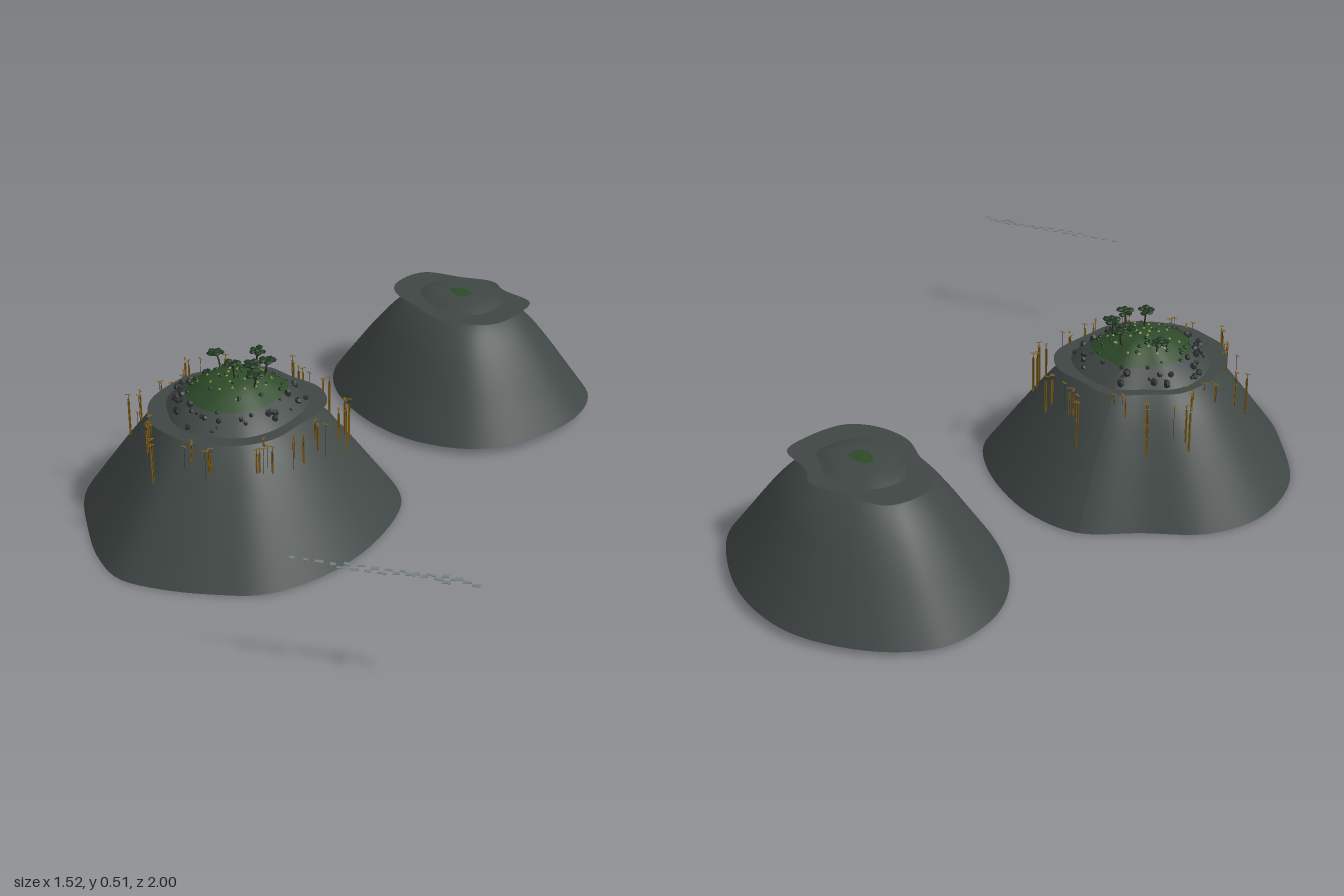
import * as THREE from 'three';
import { mergeGeometries } from 'three/addons/utils/BufferGeometryUtils.js';

const mat = (name, color, side = THREE.FrontSide) => {
  const m = new THREE.MeshStandardMaterial({ color, side });
  m.name = name;
  return m;
};
const SEA = 0.36, SEG = 96, SHORE = 0.54;

export function createModel() {
  const group = new THREE.Group();
  const rock = mat('slopeRock', 0x3f4745, THREE.DoubleSide);
  const shelfRock = mat('shelfRock', 0x3f4644, THREE.DoubleSide);
  const moss = mat('moss', 0x2d4a29, THREE.DoubleSide);
  const boulder = mat('boulder', 0x2b3130);
  const bark = mat('bark', 0x2c241b);
  const leaf = mat('foliage', 0x1f3621);
  const grass = mat('grass', 0x83943a);
  const stem = mat('kelpStem', 0x3b3426);
  const blade = mat('kelpBlade', 0x7d5a14, THREE.DoubleSide);
  const foam = mat('driftSlab', 0x74807d);

  let seed = 7;
  const rnd = (a = 0, b = 1) => {
    seed = (seed * 16807) % 2147483647;
    return a + (b - a) * (seed / 2147483647);
  };
  const add = (name, geometry, material) => {
    const mesh = new THREE.Mesh(geometry, material);
    mesh.name = name;
    group.add(mesh);
  };
  const outline = (pts) => new THREE.CatmullRomCurve3(
    pts.map(([x, z]) => new THREE.Vector3(x, 0, z)), true).getSpacedPoints(SEG);

  // An island: stacked loops from the sea-bed outline to the peak, plus a flat shelf at sea level
  function island(name, [cx, cz], basePts, shorePts, profile, mossLimit, tilt) {
    const base = outline(basePts), shore = outline(shorePts);
    const levels = new THREE.SplineCurve(profile.map(p => new THREE.Vector2(...p))).getPoints(28);
    const point = (s, i, y) => {
      const k = THREE.MathUtils.smoothstep(s, 0.15, 0.6), q = (1 - k) / SHORE;
      const dx = s * (q * (shore[i].x - cx) + k * (base[i].x - cx));
      const dz = s * (q * (shore[i].z - cz) + k * (base[i].z - cz));
      return new THREE.Vector3(cx + dx, y + tilt * dx * s * s, cz + dz);
    };
    const pos = [], idx = [], row = SEG + 1;
    let split = -1;
    levels.forEach((l, j) => {
      for (let i = 0; i <= SEG; i++) pos.push(...point(Math.max(l.x, 0.001), i, l.y).toArray());
      if (j === levels.length - 1) return;
      if (split < 0 && l.x < mossLimit) split = idx.length;
      for (let i = 0; i < SEG; i++) {
        const a = j * row + i, b = a + 1, c = a + row, d = c + 1;
        idx.push(a, c, b, b, c, d);
      }
    });
    const g = new THREE.BufferGeometry();
    g.setAttribute('position', new THREE.Float32BufferAttribute(pos, 3));
    g.setIndex(idx);
    g.computeVertexNormals();
    g.addGroup(0, split, 0);
    g.addGroup(split, idx.length - split, 1);
    add(name + 'Mound', g, [rock, moss]);

    const ring = (k) => shore.slice(0, SEG).map(p =>
      new THREE.Vector2(cx + (p.x - cx) * k, -(cz + (p.z - cz) * k)));
    const shape = new THREE.Shape(ring(1));
    shape.holes.push(new THREE.Path(ring(0.48)));
    add(name + 'Shelf', new THREE.ShapeGeometry(shape).rotateX(-Math.PI / 2).translate(0, SEA - 0.003, 0), shelfRock);

    // Surface point at a given share of the radius
    return (s, i) => {
      const j = Math.max(1, levels.findIndex(l => l.x <= s));
      const a = levels[j - 1], b = levels[j];
      return point(s, i, THREE.MathUtils.mapLinear(s, a.x, b.x, a.y, b.y));
    };
  }

  const surface = island('mainIsland', [-0.28, 0.16],
    [[-0.21, -0.29], [-0.05, -0.24], [0.11, -0.1], [0.2, 0.055], [0.205, 0.15], [0.14, 0.35], [0.03, 0.51],
      [-0.12, 0.62], [-0.26, 0.64], [-0.42, 0.635], [-0.55, 0.6], [-0.63, 0.51], [-0.69, 0.39], [-0.76, 0.16],
      [-0.71, -0.05], [-0.58, -0.18], [-0.39, -0.235]],
    [[-0.23, -0.065], [-0.15, -0.02], [-0.05, 0.04], [-0.016, 0.135], [-0.085, 0.28], [-0.13, 0.35], [-0.21, 0.4],
      [-0.365, 0.41], [-0.44, 0.37], [-0.5, 0.32], [-0.534, 0.19], [-0.487, 0.066], [-0.434, 0], [-0.365, -0.024]],
    [[1, 0.006], [0.85, 0.108], [0.7, 0.208], [0.55, 0.3], [0.41, 0.368], [0.28, 0.414], [0.15, 0.45], [0, 0.462]], 0.33, 0.004);

  island('backIsland', [0.32, -0.62],
    [[0.217, -1], [0.4, -0.99], [0.56, -0.91], [0.68, -0.78], [0.757, -0.605], [0.72, -0.447], [0.59, -0.3],
      [0.455, -0.225], [0.35, -0.214], [0.19, -0.257], [0.03, -0.38], [-0.09, -0.57], [-0.106, -0.74],
      [-0.03, -0.9], [0.074, -0.966]],
    [[0.19, -0.797], [0.307, -0.775], [0.418, -0.754], [0.455, -0.696], [0.545, -0.62], [0.52, -0.54],
      [0.444, -0.447], [0.35, -0.43], [0.243, -0.468], [0.18, -0.54], [0.11, -0.617], [0.095, -0.685], [0.138, -0.765]],
    [[1, 0.024], [0.85, 0.115], [0.7, 0.205], [0.56, 0.28], [0.44, 0.333], [0.33, 0.358], [0.2, 0.374], [0, 0.38]], 0.15, 0.025);

  // Boulders around the foot of the dome
  const rocks = [];
  for (let i = 0; i < 55; i++) {
    const p = surface(rnd(0.32, 0.42), Math.floor(rnd(0, SEG)));
    const r = rnd(0.005, 0.012);
    rocks.push(new THREE.DodecahedronGeometry(r).scale(1, rnd(0.8, 1.5), 1).rotateY(rnd(0, 6)).translate(p.x, p.y + r * 0.3, p.z));
  }
  add('boulders', mergeGeometries(rocks), boulder);

  // Shrubs and grass tufts on the dome
  const shrubs = [], tufts = [];
  for (let i = 0; i < 80; i++) {
    const p = surface(rnd(0.03, i % 2 ? 0.34 : 0.24), Math.floor(rnd(0, SEG)));
    if (i % 2) shrubs.push(new THREE.IcosahedronGeometry(rnd(0.005, 0.009)).scale(1, 0.6, 1).translate(p.x, p.y + 0.002, p.z));
    else tufts.push(new THREE.ConeGeometry(0.005, 0.006, 5).translate(p.x, p.y + 0.002, p.z));
  }
  add('shrubs', mergeGeometries(shrubs), leaf);
  add('grassTufts', mergeGeometries(tufts), grass);

  // Trees with leaning trunks and flat clustered crowns
  [[-0.355, 0.08, 0.474], [-0.28, 0.2, 0.508], [-0.23, 0.08, 0.49], [-0.19, 0.14, 0.49],
    [-0.235, 0.14, 0.474], [-0.21, 0.22, 0.484]].forEach(([x, z, top]) => {
    const foot = new THREE.Vector3(x + (-0.28 - x) * 0.2, 0.42, z + (0.16 - z) * 0.2);
    const path = new THREE.CatmullRomCurve3([foot, new THREE.Vector3((foot.x + x) / 2 + 0.004, 0.45, (foot.z + z) / 2),
      new THREE.Vector3(x, top, z)]);
    add('treeTrunk', new THREE.TubeGeometry(path, 6, 0.0025, 5), bark);
    const crown = [];
    for (let i = 0; i < 6; i++) {
      const a = i * 1.25, d = i ? 0.016 : 0;
      crown.push(new THREE.IcosahedronGeometry(rnd(0.01, 0.014)).scale(1, 0.5, 1).rotateY(rnd(0, 3))
        .translate(x + Math.cos(a) * d, top + rnd(-0.004, 0.005), z + Math.sin(a) * d));
    }
    add('treeCrown', mergeGeometries(crown), leaf);
  });

  // Kelp clumps: thin stems reach the sea surface, long golden blades hang below it
  const stems = [], blades = [];
  for (let c = 0; c < 20; c++) {
    const angle = (c / 20) * Math.PI * 2 + rnd(-0.1, 0.1), far = rnd(0.24, 0.33);
    for (let k = 0; k < 3; k++) {
      const x = -0.28 + Math.cos(angle) * far + rnd(-0.025, 0.025);
      const z = 0.18 + Math.sin(angle) * far + rnd(-0.025, 0.025);
      const len = rnd(0.1, 0.17), turn = rnd(0, 3);
      stems.push(new THREE.CylinderGeometry(0.0008, 0.0008, len, 3).translate(x, SEA - len / 2, z));
      blades.push(new THREE.PlaneGeometry(0.018, 0.006).rotateX(-Math.PI / 2).rotateY(turn).translate(x, SEA, z));
      if (k < 2) {
        const h = rnd(0.16, 0.3);
        for (const t of [0, Math.PI / 2]) {
          blades.push(new THREE.PlaneGeometry(0.007, h).rotateY(turn + t).translate(x, SEA - 0.015 - h / 2, z));
        }
      }
    }
  }
  add('kelpStems', mergeGeometries(stems), stem);
  add('kelpBlades', mergeGeometries(blades), blade);

  // Two broken lines of thin slabs drifting at the sea surface
  const slabs = [];
  const slab = (x, z) => slabs.push(new THREE.BoxGeometry(rnd(0.014, 0.026), 0.0015, rnd(0.008, 0.013))
    .rotateY(rnd(-0.3, 0.1)).translate(x, SEA, z));
  for (let i = 0; i < 13; i++) {
    slab(0.01 + i * 0.036, 0.935 + i * 0.0022 + rnd(-0.005, 0.005));
    if (i > 2) slab(0.03 + i * 0.036, 0.953 + i * 0.0018 + rnd(-0.004, 0.004));
  }
  slab(0.41, 0.985);
  slab(0.485, 0.988);
  add('driftSlabs', mergeGeometries(slabs), foam);

  return group;
}
